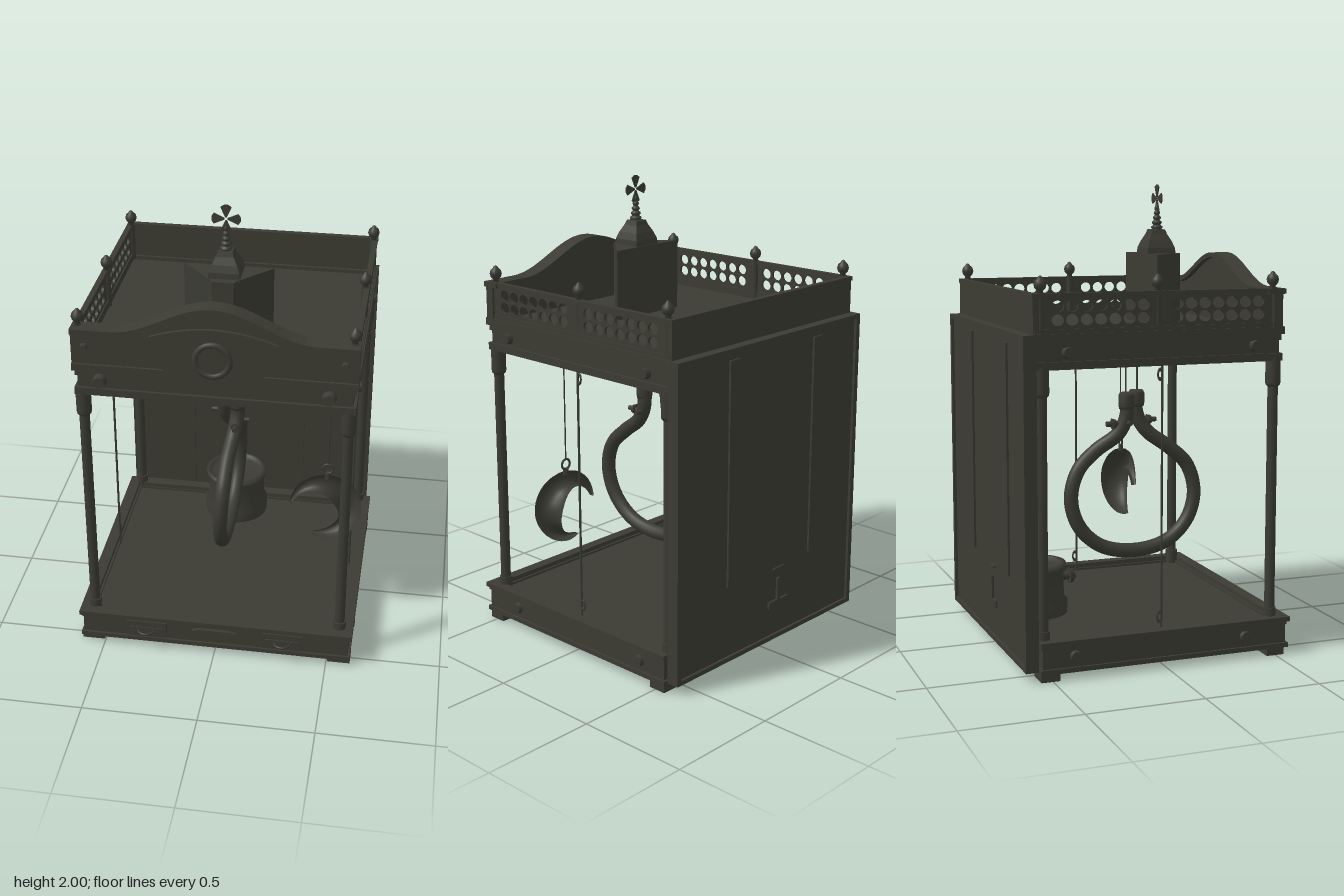
import * as THREE from 'three';

export function createModel() {
  const model = new THREE.Group();
  const bronze = new THREE.MeshStandardMaterial({ color: 0x3b3b33 });
  bronze.name = 'dark bronze';

  const add = (name, geo, x = 0, y = 0, z = 0) => {
    const m = new THREE.Mesh(geo, bronze);
    m.name = name;
    m.position.set(x, y, z);
    model.add(m);
    return m;
  };
  // Box given by its limits
  const box = (name, x0, x1, y0, y1, z0, z1) =>
    add(name, new THREE.BoxGeometry(x1 - x0, y1 - y0, z1 - z0), (x0 + x1) / 2, (y0 + y1) / 2, (z0 + z1) / 2);
  const rod = (name, r, y0, y1, x, z, sides = 16) =>
    add(name, new THREE.CylinderGeometry(r, r, y1 - y0, sides), x, (y0 + y1) / 2, z);
  const lathe = (pts, n = 24) => new THREE.LatheGeometry(pts.map(p => new THREE.Vector2(...p)), n);
  const shape = pts => new THREE.Shape(pts.map(p => new THREE.Vector2(...p)));
  const extrude = (s, depth) => new THREE.ExtrudeGeometry(s, { depth, bevelEnabled: false, curveSegments: 16 });
  // Round boss lying on a face: axis 'x' or 'z'
  const boss = (name, r, len, x, y, z, axis) => {
    const g = new THREE.CylinderGeometry(r * 0.8, r, len, 20);
    if (axis === 'z') g.rotateX(Math.PI / 2);
    else g.rotateZ(x > 0 ? -Math.PI / 2 : Math.PI / 2);
    return add(name, g, x, y, z);
  };
  // Open rectangular frame seen from above
  const frame = (name, hx, z0, z1, w, y0, y1) => {
    const s = shape([[-hx, -z1], [hx, -z1], [hx, -z0], [-hx, -z0]]);
    s.holes.push(shape([[-hx + w, -z1 + w], [-hx + w, -z0 - w], [hx - w, -z0 - w], [hx - w, -z1 + w]]));
    add(name, extrude(s, y1 - y0).rotateX(-Math.PI / 2), 0, y0, 0);
  };

  // Base tray
  box('baseBody', -0.595, 0.595, 0.035, 0.135, -0.54, 0.55);
  frame('baseLowerMoulding', 0.605, -0.55, 0.56, 0.05, 0.03, 0.05);
  frame('baseRim', 0.6, -0.545, 0.555, 0.05, 0.13, 0.145);
  frame('baseTopMoulding', 0.61, -0.55, 0.565, 0.05, 0.145, 0.165);

  // Feet, posts and finials on each side
  const ballProfile = [[0, -0.04], [0.014, -0.04], [0.012, -0.025], [0.022, -0.014], [0.026, 0],
    [0.022, 0.015], [0.012, 0.024], [0.007, 0.032], [0, 0.036]];
  for (const s of [-1, 1]) {
    for (const z of [0.495, -0.525]) {
      const x = s * 0.55;
      const fz = z > 0 ? 0.5 : -0.51;
      box('foot', s * 0.555 - 0.05, s * 0.555 + 0.05, 0, 0.035, fz - 0.04, fz + 0.04);
      rod('post', 0.022, 0.13, 1.28, x, z);
      rod('postBase', 0.028, 0.13, 0.2, x, z);
      add('postCapital', lathe([[0.02, 1.155], [0.03, 1.165], [0.032, 1.175], [0.032, 1.28]]), x, 0, z);
    }
    for (const z of [0.483, -0.033, -0.53]) {
      add('finialBall', lathe(ballProfile), s * 0.56, 1.607, z);
      rod('finialPost', 0.016, 1.4, 1.575, s * 0.56, z);
    }
    // Side bosses and thin tie rod with hooks
    for (const z of [0.4, -0.42]) boss('corniceSideBoss', 0.026, 0.03, s * 0.575, 1.335, z, 'x');
    for (const z of [0.36, -0.4]) boss('baseSideBoss', 0.026, 0.02, s * 0.6, 0.095, z, 'x');
    rod('tieRod', 0.005, 0.13, 1.28, s * 0.55, -0.007, 8);
    for (const y of [0.21, 1.23])
      add('tieHook', new THREE.TorusGeometry(0.01, 0.004, 8, 16).rotateY(Math.PI / 2).scale(1, 2, 1), s * 0.55, y, -0.016);

    // Pierced gallery side
    const panel = shape([[-0.5, 1.41], [0.55, 1.41], [0.55, 1.565], [-0.5, 1.565]]);
    for (const start of [-0.413, 0.098])
      for (let i = 0; i < 7; i++)
        for (const y of [1.466, 1.52]) {
          const h = new THREE.Path();
          h.absellipse(start + i * 0.0605, y, 0.026, 0.023, 0, Math.PI * 2, true);
          panel.holes.push(h);
        }
    add('piercedGallery', extrude(panel, 0.012).rotateY(Math.PI / 2), s * 0.567 - 0.006, 0, 0);
    box('galleryTopRail', s * 0.567 - 0.012, s * 0.567 + 0.012, 1.555, 1.572, -0.56, 0.5);
    box('galleryBottomRail', s * 0.567 - 0.012, s * 0.567 + 0.012, 1.38, 1.43, -0.56, 0.5);

    // Front bosses, drawers and ring handles
    boss('corniceBoss', 0.03, 0.03, s * 0.47, 1.34, 0.535, 'z');
    boss('galleryBoss', 0.017, 0.02, s * 0.53, 1.49, 0.527, 'z');
    const dx = s * 0.305;
    box('drawerFront', dx - 0.09, dx + 0.09, 0.06, 0.14, 0.54, 0.565);
    box('handlePlate', dx - 0.075, dx + 0.075, 0.085, 0.112, 0.56, 0.57);
    add('drawerHandle', new THREE.TorusGeometry(0.036, 0.005, 8, 20, Math.PI).rotateX(Math.PI / 2), dx, 0.1, 0.566);
  }

  // Centre escutcheon on the base
  const badge = shape([[-0.1, 0.115], [-0.085, 0.085], [-0.04, 0.065], [0.04, 0.065], [0.085, 0.085], [0.1, 0.115], [0.07, 0.125], [-0.07, 0.125]]);
  add('baseEscutcheon', extrude(badge, 0.02), 0, 0, 0.545);

  // Cornice and roof
  frame('corniceLowerBand', 0.578, -0.555, 0.525, 0.07, 1.268, 1.3);
  box('corniceBody', -0.566, 0.566, 1.29, 1.395, -0.55, 0.513);
  frame('corniceMiddleBand', 0.575, -0.555, 0.52, 0.05, 1.355, 1.38);
  frame('corniceTopBand', 0.585, -0.565, 0.53, 0.03, 1.38, 1.412);
  box('galleryBack', -0.575, 0.575, 1.39, 1.565, -0.565, -0.548);
  box('galleryBackRail', -0.58, 0.58, 1.553, 1.572, -0.568, -0.542);

  // Arched front pediment with a thicker crest
  const arch = [];
  for (let i = 0; i <= 32; i++) {
    const x = -0.42 + i * 0.02625;
    arch.push([x, 1.57 + 0.065 * (1 + Math.cos(Math.PI * x / 0.42))]);
  }
  add('pedimentWall', extrude(shape([[0.585, 1.4], [0.585, 1.57], ...arch.slice().reverse(), [-0.585, 1.57], [-0.585, 1.4]]), 0.04), 0, 0, 0.48);
  const crest = [[-0.585, 1.57], ...arch, [0.585, 1.57]];
  add('pedimentCrest', extrude(shape([...crest, ...crest.map(p => [p[0], p[1] - 0.022]).reverse()]), 0.078), 0, 0, 0.456);
  const plaque = new THREE.Shape();
  plaque.moveTo(-0.26, 1.56);
  plaque.quadraticCurveTo(-0.25, 1.46, -0.2, 1.41);
  plaque.quadraticCurveTo(-0.17, 1.36, -0.1, 1.375);
  plaque.quadraticCurveTo(0, 1.31, 0.1, 1.375);
  plaque.quadraticCurveTo(0.17, 1.36, 0.2, 1.41);
  plaque.quadraticCurveTo(0.25, 1.46, 0.26, 1.56);
  plaque.quadraticCurveTo(0, 1.66, -0.26, 1.56);
  add('pedimentPlaque', extrude(plaque, 0.025), 0, 0, 0.51);
  add('medallionRim', new THREE.TorusGeometry(0.07, 0.013, 10, 32), 0, 1.48, 0.545);
  boss('medallion', 0.072, 0.04, 0, 1.48, 0.53, 'z');

  // Turret, spire and cross
  const plan = shape([[-0.19, -0.115], [-0.065, -0.25], [-0.045, -0.282], [0.045, -0.282], [0.065, -0.25], [0.19, -0.115]]);
  add('turret', extrude(plan, 0.315).rotateX(-Math.PI / 2), 0, 1.385, 0);
  const roof = lathe([[0.095, 1.69], [0.09, 1.725], [0.074, 1.755], [0.052, 1.785], [0.042, 1.805], [0, 1.805]], 4)
    .rotateY(Math.PI / 4).toNonIndexed();
  roof.computeVertexNormals();
  add('turretRoof', roof, 0, 0, 0.185);
  const spire = [[0.03, 1.79]];
  for (let i = 0; i < 5; i++) {
    const r = 0.026 - i * 0.004, y = 1.805 + i * 0.021;
    spire.push([r * 0.7, y], [r, y + 0.007], [r * 0.95, y + 0.013], [r * 0.65, y + 0.018]);
  }
  add('spire', lathe([...spire, [0.004, 1.915], [0, 1.935]], 16), 0, 0, 0.188);
  for (let i = 0; i < 4; i++) {
    const arm = extrude(shape([[-0.003, 0.006], [0.003, 0.006], [0.023, 0.05], [0.008, 0.06], [-0.008, 0.06], [-0.023, 0.05]]), 0.005);
    add('crossArm', arm, 0, 1.94, 0.186).rotation.z = i * Math.PI / 2;
  }

  // Back panel: frame, sheet, battens and latch
  box('backSheet', -0.57, 0.57, 0.05, 1.4, -0.598, -0.565);
  for (const s of [-1, 1]) {
    box('backStile', s * 0.577 - 0.012, s * 0.577 + 0.012, 0.04, 1.41, -0.61, -0.555);
    box('backRail', -0.585, 0.585, s < 0 ? 0.04 : 1.39, s < 0 ? 0.06 : 1.41, -0.61, -0.555);
    const x = s < 0 ? -0.3 : 0.245;
    box('backBatten', x - 0.03, x + 0.03, 0.38, 1.36, -0.607, -0.59);
    box('innerBatten', x - 0.022, x + 0.022, 0.16, 1.28, -0.57, -0.556);
  }
  box('latchBar', -0.13, 0, 0.19, 0.22, -0.608, -0.59);
  box('latchStem', -0.075, -0.055, 0.21, 0.32, -0.608, -0.59);
  box('latchPin', -0.1, -0.03, 0.36, 0.37, -0.606, -0.59);

  // Looped horseshoe hung on two cords, necks close together
  const neck = 0.069;
  const half = [[0.037, 1.06], [0.037, 0.985], [0.075, 0.905], [0.175, 0.825], [0.262, 0.74], [0.297, 0.615], [0.262, 0.49], [0.16, 0.395]];
  const side = s => half.map(([d, y]) => [neck + s * d + 0.01 * Math.min(1, Math.max(0, (0.98 - y) / 0.2)), y]);
  const loop = [...side(1), [0.079, 0.362], ...side(-1).reverse()];
  const twist = (z, y) => y > 0.85 ? Math.sign(z - neck) * 0.036 * Math.min(1, (y - 0.8) / 0.15) : -0.012 + (y - 0.36) * 0.05;
  const path = new THREE.CatmullRomCurve3(loop.map(([z, y]) => new THREE.Vector3(twist(z, y), y, z)));
  add('horseshoe', new THREE.TubeGeometry(path, 96, 0.032, 14, false));
  for (const s of [-1, 1]) {
    const x = s * 0.035, z = neck + s * 0.037;
    add('horseshoeCap', lathe([[0, 1.015], [0.033, 1.015], [0.036, 1.03], [0.036, 1.075], [0.03, 1.088], [0, 1.088]]), x, 0, z);
    rod('horseshoeCord', 0.004, 1.08, 1.3, x, neck + s * 0.04, 8);
    boss('horseshoeBolt', 0.013, 0.09, x, 0.95, z + s * 0.05, 'z');
    boss('horseshoeNut', 0.024, 0.018, x, 0.95, z + s * 0.06, 'z');
    boss('horseshoePin', 0.012, 0.05, x + s * 0.03, 0.955, z, 'x');
  }

  // Hanging crescent: tapered elliptical sections swept round an arc
  const rings = 36, sides = 16, pos = [], idx = [];
  for (let i = 0; i <= rings; i++) {
    const t = i / rings, a = THREE.MathUtils.degToRad(176 - 286 * t);
    const w = 0.006 + 0.05 * Math.sin(Math.PI * t), d = 0.012 + 0.057 * Math.sin(Math.PI * t ** 1.35);
    for (let j = 0; j < sides; j++) {
      const b = j / sides * Math.PI * 2, r = 0.16 - w + w * Math.cos(b);
      pos.push(r * Math.cos(a), r * Math.sin(a), d * Math.sin(b));
      const k = i * sides + j, n = i * sides + (j + 1) % sides;
      if (i < rings) idx.push(k, k + sides, n, n, k + sides, n + sides);
    }
  }
  for (let j = 1; j < sides - 1; j++) {
    const e = rings * sides;
    idx.push(0, j, j + 1, e, e + j + 1, e + j);
  }
  const moon = new THREE.BufferGeometry();
  moon.setAttribute('position', new THREE.Float32BufferAttribute(pos, 3));
  moon.setIndex(idx);
  moon.computeVertexNormals();
  add('crescent', moon, 0.444, 0.588, 0.192);
  add('crescentRing', new THREE.TorusGeometry(0.023, 0.005, 8, 20), 0.45, 0.785, 0.185);
  rod('crescentStem', 0.012, 0.735, 0.765, 0.45, 0.187, 10);
  rod('crescentCord', 0.003, 0.808, 1.3, 0.45, 0.185, 8);

  // Drum on the floor at the back
  add('drum', lathe([[0.15, 0.13], [0.153, 0.19], [0.137, 0.2], [0.135, 0.325], [0.146, 0.335], [0.146, 0.357],
    [0.125, 0.357], [0.12, 0.335], [0, 0.335]], 32), -0.047, 0, -0.413);
  boss('drumKnobStem', 0.02, 0.07, -0.055, 0.285, -0.255, 'z');
  boss('drumKnob', 0.036, 0.02, -0.055, 0.285, -0.24, 'z');

  return model;
}
